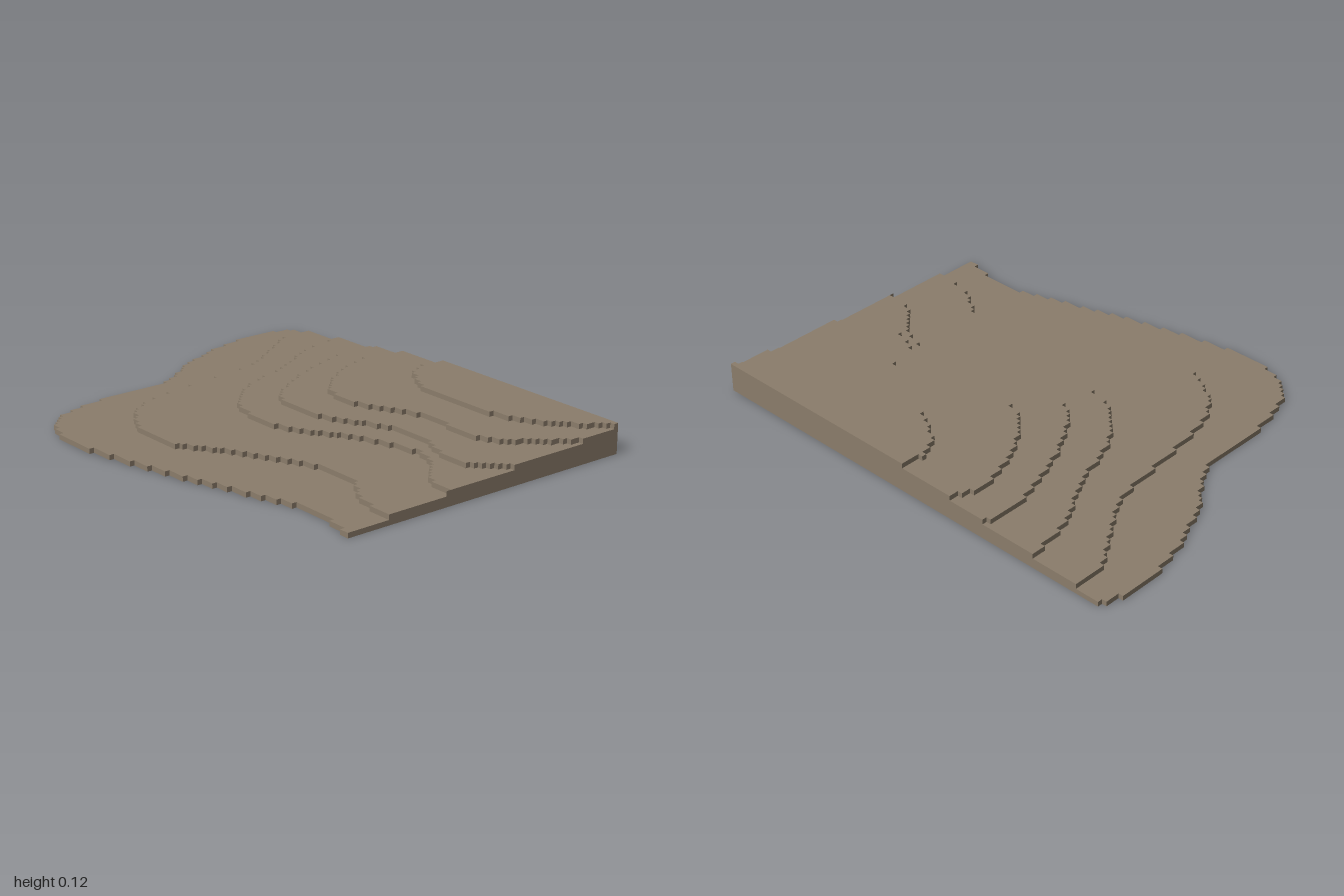
import * as THREE from 'three';

// The terrain is a stack of terraces cut on a square grid of 96 x 75 cells.
const CELL = 2 / 96, COLS = 96, ROWS = 75, BACK = -ROWS * CELL / 2;

// A few x, z points on the front edge of each terrace, from the back side round to the right-hand side.
const contours = [
  [-.96, -.78, -1, -.64, -.97, -.4, -.86, -.13, -.72, .1, -.69, .47, -.6, .7, -.42, .78,
    -.12, .745, .42, .6, .7, .515, .84, .515, 1, .55],
  [-.85, -.78, -.84, -.63, -.73, -.46, -.63, -.28, -.58, .03, -.51, .34, -.34, .5, -.1, .535,
    .14, .4, .46, .25, .66, .245, .83, .34, 1, .37],
  [-.65, -.78, -.6, -.57, -.475, -.34, -.385, -.1, -.26, .06, -.13, .12, .09, .12, .33, -.02,
    .62, -.105, .73, -.07, .87, .05, 1, .085],
  [-.4, -.78, -.42, -.66, -.35, -.4, -.245, -.19, -.12, -.05, .085, -.03, .41, -.17, .6, -.17,
    .8, -.105, .89, -.14, 1, -.25],
  [-.22, -.78, -.27, -.67, -.21, -.45, -.1, -.29, -.02, -.22, .13, -.205, .41, -.315,
    .74, -.315, .88, -.435, 1, -.61],
  [.03, -.78, .01, -.68, .06, -.59, .25, -.49, .52, -.49, .7, -.525, .9, -.66, 1, -.78],
];

// Snap a smooth contour to grid lines, giving a stair-stepped outline.
function steppedShape(flat) {
  const points = [];
  for (let i = 0; i < flat.length; i += 2) points.push(new THREE.Vector3(flat[i], 0, flat[i + 1]));
  const path = [];
  const same = (p, i, j) => p && p[0] === i && p[1] === j;
  const add = (i, j) => {
    if (same(path.at(-1), i, j)) return;
    if (same(path.at(-2), i, j)) path.pop();   // drop a doubled-back step
    else path.push([i, j]);
  };
  for (const p of new THREE.CatmullRomCurve3(points).getPoints(800)) {
    const i = THREE.MathUtils.clamp(Math.round((p.x + 1) / CELL), 0, COLS);
    const j = THREE.MathUtils.clamp(Math.round((p.z - BACK) / CELL), 0, ROWS);
    if (path.length) add(i, path.at(-1)[1]);
    add(i, j);
  }
  add(COLS, 0);   // close along the straight right and back sides
  return new THREE.Shape(path.map(([i, j]) => new THREE.Vector2(-1 + i * CELL, -(BACK + j * CELL))));
}

export function createModel() {
  const group = new THREE.Group();
  group.name = 'terracedHill';
  const earth = new THREE.MeshStandardMaterial({ color: 0x8b7d6b });
  earth.name = 'earth';

  // One slab, one cell high, per terrace
  contours.forEach((contour, level) => {
    const geometry = new THREE.ExtrudeGeometry(steppedShape(contour), { depth: CELL, bevelEnabled: false });
    geometry.rotateX(-Math.PI / 2);
    const terrace = new THREE.Mesh(geometry, earth);
    terrace.name = `terrace${level + 1}`;
    terrace.position.y = level * CELL;
    group.add(terrace);
  });
  return group;
}
